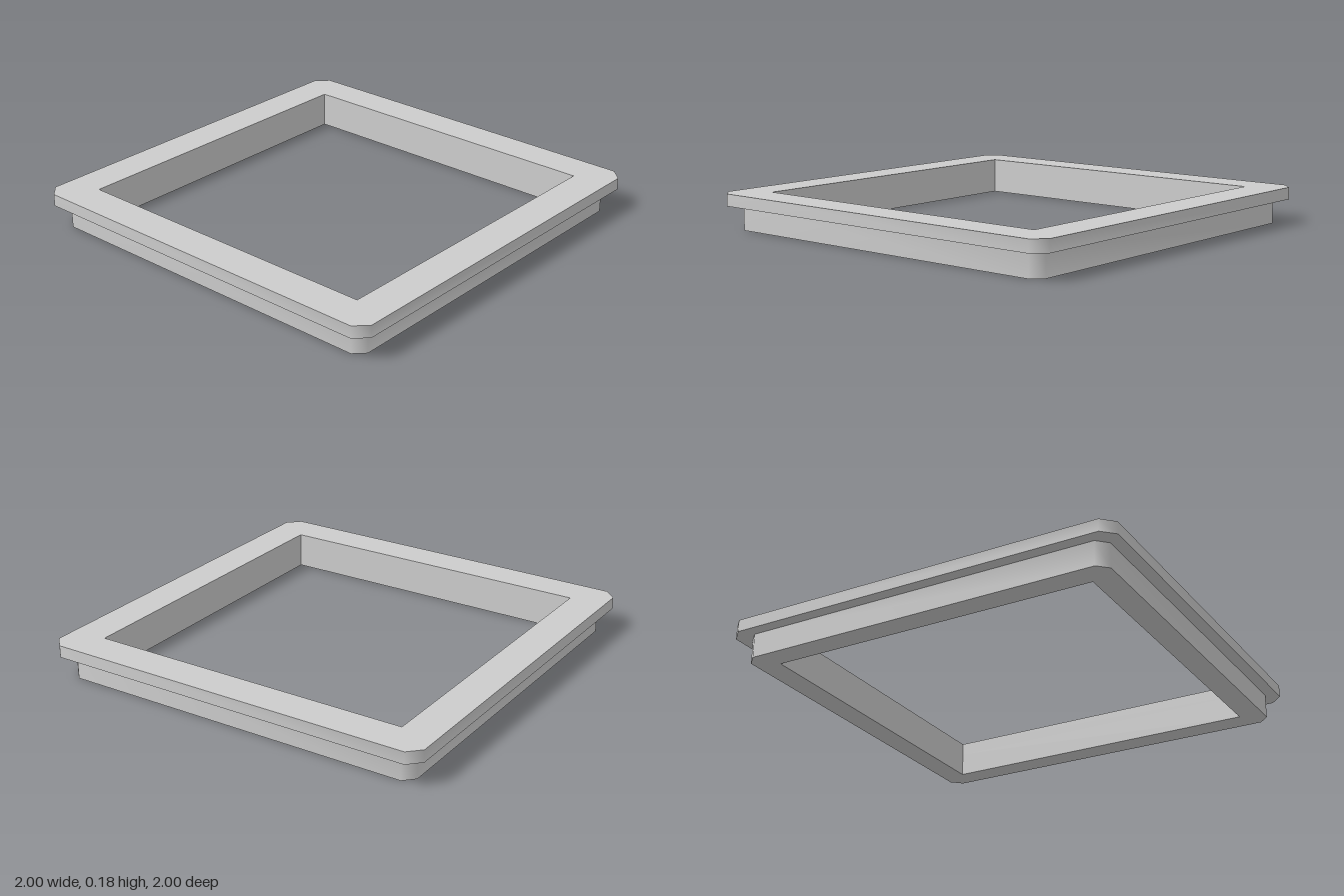
import * as THREE from 'three';
import { toCreasedNormals } from 'three/addons/utils/BufferGeometryUtils.js';

const INNER = 0.82; // half width of the square opening

// Square ring with chamfered outer corners, standing from y0 to y1
function ring(name, half, chamfer, y0, y1, material) {
  const k = half - chamfer;
  const shape = new THREE.Shape([
    [k, -half], [half, -k], [half, k], [k, half],
    [-k, half], [-half, k], [-half, -k], [-k, -half],
  ].map(([x, y]) => new THREE.Vector2(x, y)));
  shape.holes.push(new THREE.Path([
    [-INNER, -INNER], [-INNER, INNER], [INNER, INNER], [INNER, -INNER],
  ].map(([x, y]) => new THREE.Vector2(x, y))));

  const extruded = new THREE.ExtrudeGeometry(shape, { depth: y1 - y0, bevelEnabled: false });
  extruded.rotateX(-Math.PI / 2).translate(0, y0, 0);
  // Outer wall flows softly round the chamfers; right-angled edges stay sharp
  const mesh = new THREE.Mesh(toCreasedNormals(extruded, Math.PI / 3), material);
  mesh.name = name;
  return mesh;
}

export function createModel() {
  const grey = new THREE.MeshStandardMaterial({ color: 0xcccccc });
  grey.name = 'light grey';

  const frame = new THREE.Group();
  frame.name = 'squareFrame';
  frame.add(
    ring('lowerCollar', 0.94, 0.05, 0, 0.12, grey),
    ring('topFlange', 1, 0.06, 0.12, 0.18, grey),
  );
  return frame;
}
